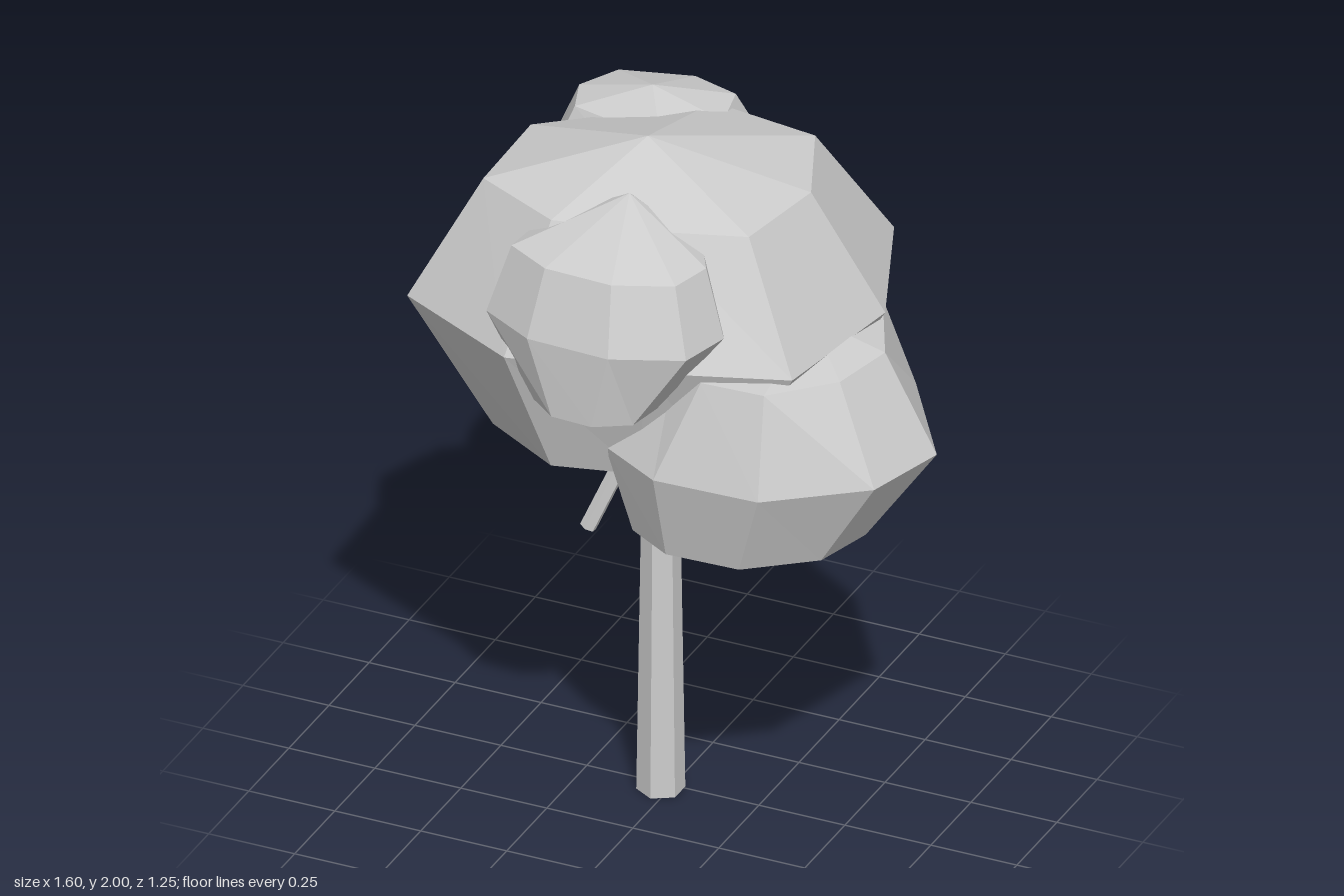
import * as THREE from 'three';

const grey = new THREE.MeshStandardMaterial({ color: 0xcccccc });
grey.name = 'plain grey';

// Faceted foliage lump: the widest outline [x, z] is shrunk towards the line between the two poles.
// upper and lower are [y, scaleX, scaleZ, shiftX, shiftZ]; poles are [x, y, z].
function lump(name, { top, upper, midY, outline, lower, bottom }) {
  const section = ([y, sx, sz, dx = 0, dz = 0]) => {
    const t = (top[1] - y) / (top[1] - bottom[1]);
    const cx = THREE.MathUtils.lerp(top[0], bottom[0], t);
    const cz = THREE.MathUtils.lerp(top[2], bottom[2], t);
    return outline.map(([x, z]) => [cx + dx + (x - cx) * sx, y, cz + dz + (z - cz) * sz]);
  };
  const rings = [[top[1], 0, 0], upper, [midY, 1, 1], lower, [bottom[1], 0, 0]].map(section);
  const n = outline.length;
  const pos = [];
  for (let r = 0; r < rings.length - 1; r++) {
    const a = rings[r], b = rings[r + 1];
    for (let i = 0; i < n; i++) {
      const j = (i + 1) % n;
      if (r > 0) pos.push(...a[i], ...a[j], ...b[i]);
      if (r < rings.length - 2) pos.push(...a[j], ...b[j], ...b[i]);
    }
  }
  const geo = new THREE.BufferGeometry();
  geo.setAttribute('position', new THREE.Float32BufferAttribute(pos, 3));
  geo.computeVertexNormals();
  const mesh = new THREE.Mesh(geo, grey);
  mesh.name = name;
  return mesh;
}

// Straight six-sided limb between two points, with flat sides
function limb(name, from, to, r0, r1) {
  const a = new THREE.Vector3(...from), b = new THREE.Vector3(...to);
  const dir = b.clone().sub(a);
  const geo = new THREE.CylinderGeometry(r1, r0, dir.length(), 6).toNonIndexed();
  geo.computeVertexNormals();
  const mesh = new THREE.Mesh(geo, grey);
  mesh.quaternion.setFromUnitVectors(new THREE.Vector3(0, 1, 0), dir.normalize());
  mesh.position.copy(a).add(b).multiplyScalar(0.5);
  mesh.name = name;
  return mesh;
}

export function createModel() {
  const tree = new THREE.Group();
  tree.name = 'tree';

  // Trunk and two short drooping branches
  tree.add(
    limb('trunk', [-0.024, 0, 0.024], [-0.024, 1.25, 0.024], 0.065, 0.046),
    limb('rightBranch', [-0.2, 0.79, 0.1], [-0.035, 1.19, 0.03], 0.023, 0.023),
    limb('leftBranch', [0.18, 0.795, -0.055], [0, 1.17, 0.01], 0.023, 0.023),
  );

  // Large central crown
  tree.add(lump('crown', {
    top: [-0.04, 2, 0.07], upper: [1.88, 0.69, 0.66], midY: 1.535,
    outline: [[0.58, -0.08], [0.51, 0.35], [0.14, 0.48], [-0.23, 0.56],
      [-0.6, 0.37], [-0.61, -0.1], [-0.05, -0.57], [0.41, -0.5]],
    lower: [1.15, 0.63, 0.72], bottom: [-0.04, 1.06, 0.05],
  }));

  // Side lumps
  tree.add(lump('leftFoliage', {
    top: [0.44, 1.57, 0.08], upper: [1.51, 0.6, 0.8], midY: 1.235,
    outline: [[0.8, 0.07], [0.73, 0.31], [0.48, 0.5], [0.18, 0.51],
      [-0.01, 0.4], [-0.09, 0.05], [0.26, -0.37], [0.59, -0.25]],
    lower: [0.98, 0.7, 0.72, -0.03, 0.06], bottom: [0.28, 0.87, 0.07],
  }));
  tree.add(lump('rightFoliage', {
    top: [-0.41, 1.58, -0.21], upper: [1.515, 0.56, 0.67], midY: 1.255,
    outline: [[0.03, -0.2], [0, 0.08], [-0.3, 0.2], [-0.65, 0.09],
      [-0.8, -0.28], [-0.58, -0.49], [-0.3, -0.63], [0, -0.45]],
    lower: [1.015, 0.65, 0.67], bottom: [-0.28, 0.94, -0.16],
  }));

  // Small lumps on the front and back of the crown
  tree.add(lump('frontFoliage', {
    top: [0, 1.94, 0.27], upper: [1.83, 0.82, 0.82], midY: 1.64,
    outline: [[0.33, 0.39], [0.29, 0.54], [0.1, 0.62], [-0.14, 0.61],
      [-0.3, 0.52], [-0.28, 0.3], [0, 0.1], [0.25, 0.25]],
    lower: [1.42, 0.5, 0.7, 0, 0.07], bottom: [0, 1.38, 0.38],
  }));
  tree.add(lump('backFoliage', {
    top: [-0.18, 1.95, -0.26], upper: [1.89, 0.76, 0.68], midY: 1.73,
    outline: [[0.09, -0.26], [-0.05, -0.02], [-0.42, -0.12], [-0.47, -0.28],
      [-0.39, -0.45], [-0.13, -0.53], [0.05, -0.47]],
    lower: [1.58, 0.72, 0.88], bottom: [-0.17, 1.52, -0.26],
  }));

  return tree;
}
